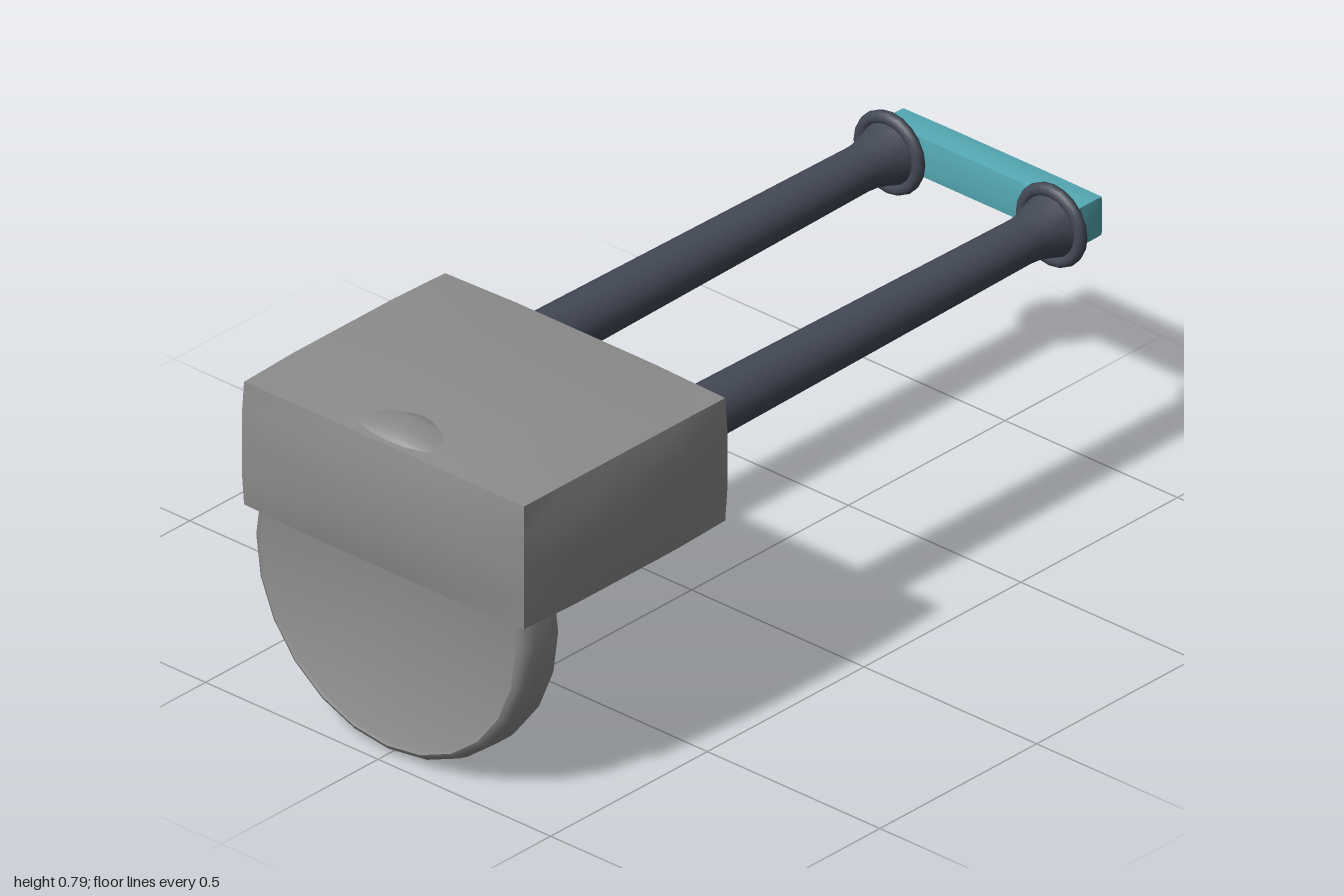
import * as THREE from 'three';
import { toCreasedNormals } from 'three/addons/utils/BufferGeometryUtils.js';

// Box whose faces swell slightly outwards, with nearly straight edges
function pillowBox(w, h, d, bulge) {
  const geo = new THREE.BoxGeometry(w, h, d, 4, 4, 4);
  const pos = geo.attributes.position;
  const half = [w / 2, h / 2, d / 2];
  const swell = (t) => 0.2 + 0.8 * Math.min(1, (1 - Math.abs(t)) * 2);
  const p = new THREE.Vector3();
  for (let i = 0; i < pos.count; i++) {
    p.fromBufferAttribute(pos, i);
    const t = [p.x / half[0], p.y / half[1], p.z / half[2]];
    const f = t.map(swell);
    p.x += t[0] * bulge * f[1] * f[2];
    p.y += t[1] * bulge * f[0] * f[2];
    p.z += t[2] * bulge * f[0] * f[1];
    pos.setXYZ(i, p.x, p.y, p.z);
  }
  geo.computeVertexNormals();
  return geo;
}

// Lathe turned so that its axis runs along x; points are [radius, x], from low x to high x
function turned(points, sides, crease) {
  const geo = new THREE.LatheGeometry(points.map(([r, x]) => new THREE.Vector2(r, x)), sides);
  geo.rotateZ(-Math.PI / 2);
  return toCreasedNormals(geo, crease);
}

export function createModel() {
  const group = new THREE.Group();
  const material = (name, color) => {
    const m = new THREE.MeshStandardMaterial({ color });
    m.name = name;
    return m;
  };
  const grey = material('grey', 0x8c8c8c);
  const dark = material('dark slate', 0x434956);
  const teal = material('teal', 0x55aab5);

  const add = (name, geo, mat, x, y, z) => {
    const mesh = new THREE.Mesh(geo, mat);
    mesh.name = name;
    mesh.position.set(x, y, z);
    group.add(mesh);
    return mesh;
  };

  // Main block
  add('body', pillowBox(0.64, 0.3, 0.81, 0.02), grey, -0.66, 0.619, 0);

  // Round-edged disc hanging below, its top just breaking through the block
  const disc = turned([
    [0, -0.062], [0.365, -0.062], [0.373, -0.066], [0.383, -0.06], [0.391, -0.048],
    [0.396, -0.025], [0.396, 0.025], [0.391, 0.048], [0.383, 0.06], [0.373, 0.066],
    [0.365, 0.062], [0, 0.062],
  ], 24, 0.6);
  add('disc', disc, grey, -0.907, 0.398, 0);

  // Two tapered rods with flared ends and end rings
  const rod = turned([
    [0, -0.4], [0.066, -0.4], [0.0525, 0.79], [0.055, 0.82], [0.07, 0.875],
    [0.078, 0.895], [0.066, 0.895], [0.05, 0.87], [0, 0.865],
  ], 20, 0.7);
  const ring = new THREE.TorusGeometry(0.084, 0.015, 10, 20);
  ring.rotateY(Math.PI / 2);
  for (const side of [1, -1]) {
    const label = side > 0 ? 'front' : 'back';
    add(label + 'Rod', rod, dark, 0, 0.619, side * 0.235);
    add(label + 'EndRing', ring, dark, 0.89, 0.619, side * 0.235);
  }

  // Cross bar in front of the rings
  add('crossBar', pillowBox(0.07, 0.093, 0.574, 0.004), teal, 0.957, 0.619, 0);

  return group;
}
